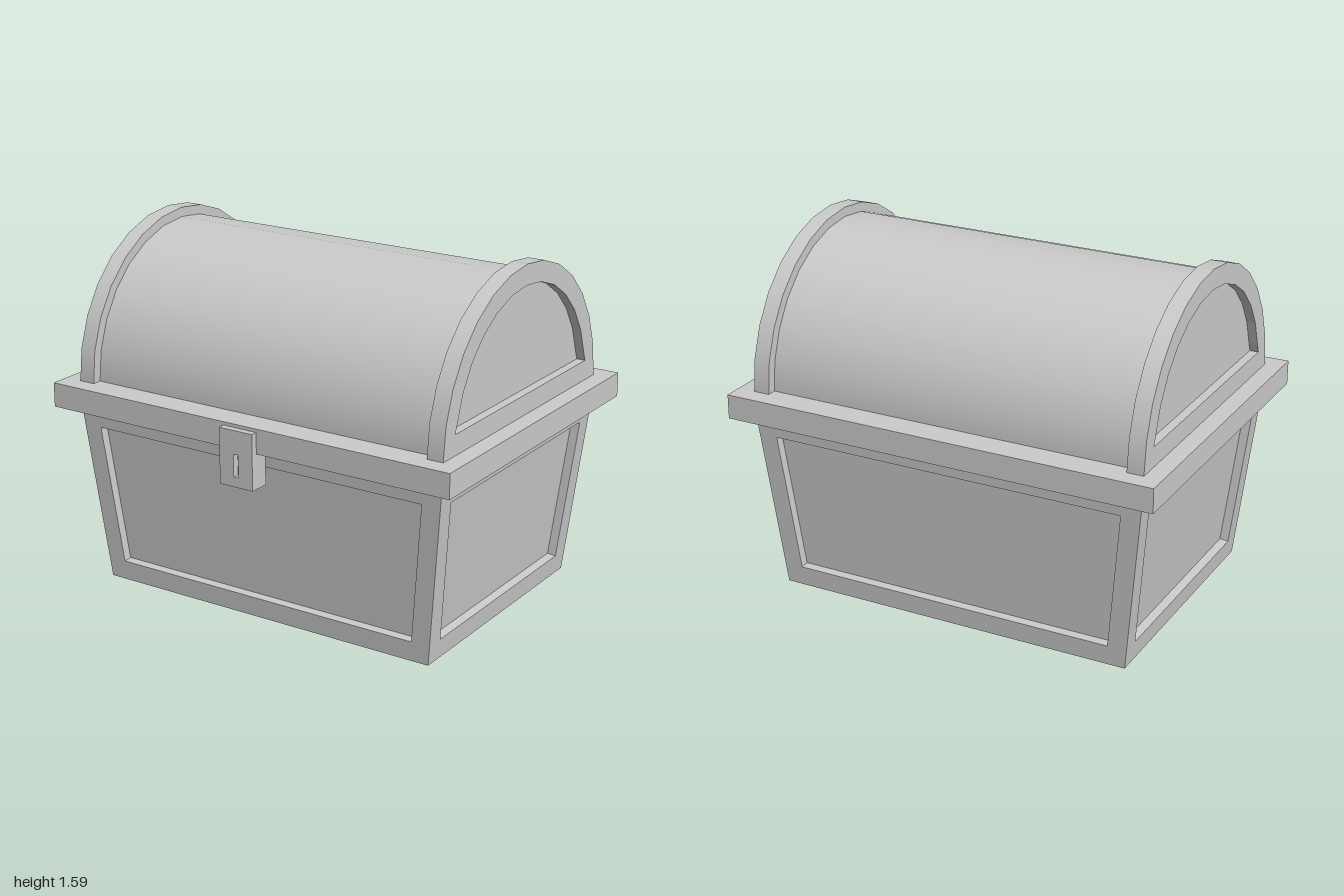
import * as THREE from 'three';

const grey = new THREE.MeshStandardMaterial({ color: 0xcccccc });
const SEG = 14;        // sides of the half-round lid
const RECESS = 0.04;   // depth of the sunken panels
const LID_Y = 0.93;    // where the lid arch springs from the rim

function add(parent, name, geometry) {
  const mesh = new THREE.Mesh(geometry, grey);
  mesh.name = name;
  parent.add(mesh);
  return mesh;
}

function box(x0, x1, y0, y1, z0, z1) {
  return new THREE.BoxGeometry(x1 - x0, y1 - y0, z1 - z0)
    .translate((x0 + x1) / 2, (y0 + y1) / 2, (z0 + z1) / 2);
}

// Flat frame between two counter-clockwise loops, with a sunken panel inside
function framedPanel(outer, inner, offset) {
  const floor = inner.map((p) => p.clone().add(offset));
  const pts = [];
  const band = (a, b) => a.forEach((p, i) => {
    const j = (i + 1) % a.length;
    pts.push(p, a[j], b[j], p, b[j], b[i]);
  });
  band(outer, inner);
  band(inner, floor);
  for (let i = 1; i < floor.length - 1; i++) pts.push(floor[0], floor[i], floor[i + 1]);
  const geometry = new THREE.BufferGeometry().setFromPoints(pts);
  geometry.computeVertexNormals();
  return geometry;
}

// One sloping wall facing +z; w = half width, d = distance from the centre
function wall(w0, w1, d0, d1, panelW0, panelW1) {
  const H = 0.82;
  const loop = (y0, y1, a, b) => [[-a, y0], [a, y0], [b, y1], [-b, y1]]
    .map(([x, y]) => new THREE.Vector3(x, y, d0 + (d1 - d0) * y / H));
  const inward = new THREE.Vector3(0, (d1 - d0) / H, -1).setLength(RECESS);
  return framedPanel(loop(0, H, w0, w1), loop(0.09, 0.73, panelW0, panelW1), inward);
}

// Upper half of an open cylinder lying along x
function halfBarrel(radius, length, x) {
  return new THREE.CylinderGeometry(radius, radius, length, SEG, 1, true, 0, Math.PI)
    .rotateZ(Math.PI / 2).translate(x, LID_Y, 0);
}

export function createModel() {
  const chest = new THREE.Group();
  chest.name = 'chest';
  chest.position.z = -0.015;

  // Tapered body
  const body = new THREE.Group();
  body.name = 'body';
  chest.add(body);
  for (const turn of [0, Math.PI]) {
    add(body, turn ? 'backWall' : 'frontWall',
      wall(0.83, 0.917, 0.593, 0.655, 0.752, 0.82).rotateY(turn));
    add(body, turn ? 'rightWall' : 'leftWall',
      wall(0.593, 0.655, 0.83, 0.917, 0.512, 0.565).rotateY(turn + Math.PI / 2));
  }
  add(body, 'bottom', new THREE.PlaneGeometry(1.66, 1.186).rotateX(Math.PI / 2));

  // Rim
  add(chest, 'rim', box(-1, 1, 0.82, LID_Y, -0.74, 0.74));

  // Lid: smooth barrel between two raised end arches
  const lid = new THREE.Group();
  lid.name = 'lid';
  chest.add(lid);
  const R = 0.655, INNER = 0.565, X0 = 0.845, X1 = 0.92;
  add(lid, 'barrel', halfBarrel(0.612, 2 * X0, 0));
  for (const s of [1, -1]) {
    const arch = new THREE.Group();
    arch.name = s > 0 ? 'leftArch' : 'rightArch';
    lid.add(arch);
    add(arch, 'archBand', halfBarrel(R, X1 - X0, s * (X0 + X1) / 2));
    add(arch, 'archShoulder', new THREE.RingGeometry(0.6, R, SEG, 1, 0, Math.PI)
      .rotateY(-s * Math.PI / 2).translate(s * X0, LID_Y, 0));
    const loop = (r, minY) => Array.from({ length: SEG + 1 }, (_, i) => {
      const t = Math.PI * i / SEG;
      return new THREE.Vector3(s * X1, Math.max(minY, LID_Y + r * Math.sin(t)), -s * r * Math.cos(t));
    });
    add(arch, 'archPanel',
      framedPanel(loop(R, LID_Y), loop(INNER, 1.02), new THREE.Vector3(-s * RECESS, 0, 0)));
  }

  // Lock with a sunken keyhole
  const lock = new THREE.Group();
  lock.name = 'lock';
  chest.add(lock);
  const rect = (path, w, y0, y1) =>
    path.moveTo(-w, y0).lineTo(w, y0).lineTo(w, y1).lineTo(-w, y1).closePath();
  const plate = rect(new THREE.Shape(), 0.083, 0.665, 0.915);
  plate.holes.push(rect(new THREE.Path(), 0.012, 0.71, 0.81));
  add(lock, 'lockPlate', new THREE.ExtrudeGeometry(plate, { depth: 0.03, bevelEnabled: false })
    .translate(0, 0, 0.74));
  add(lock, 'lockBack', box(-0.083, 0.083, 0.665, 0.915, 0.675, 0.74));

  const model = new THREE.Group();
  model.name = 'treasureChest';
  model.add(chest);
  return model;
}
